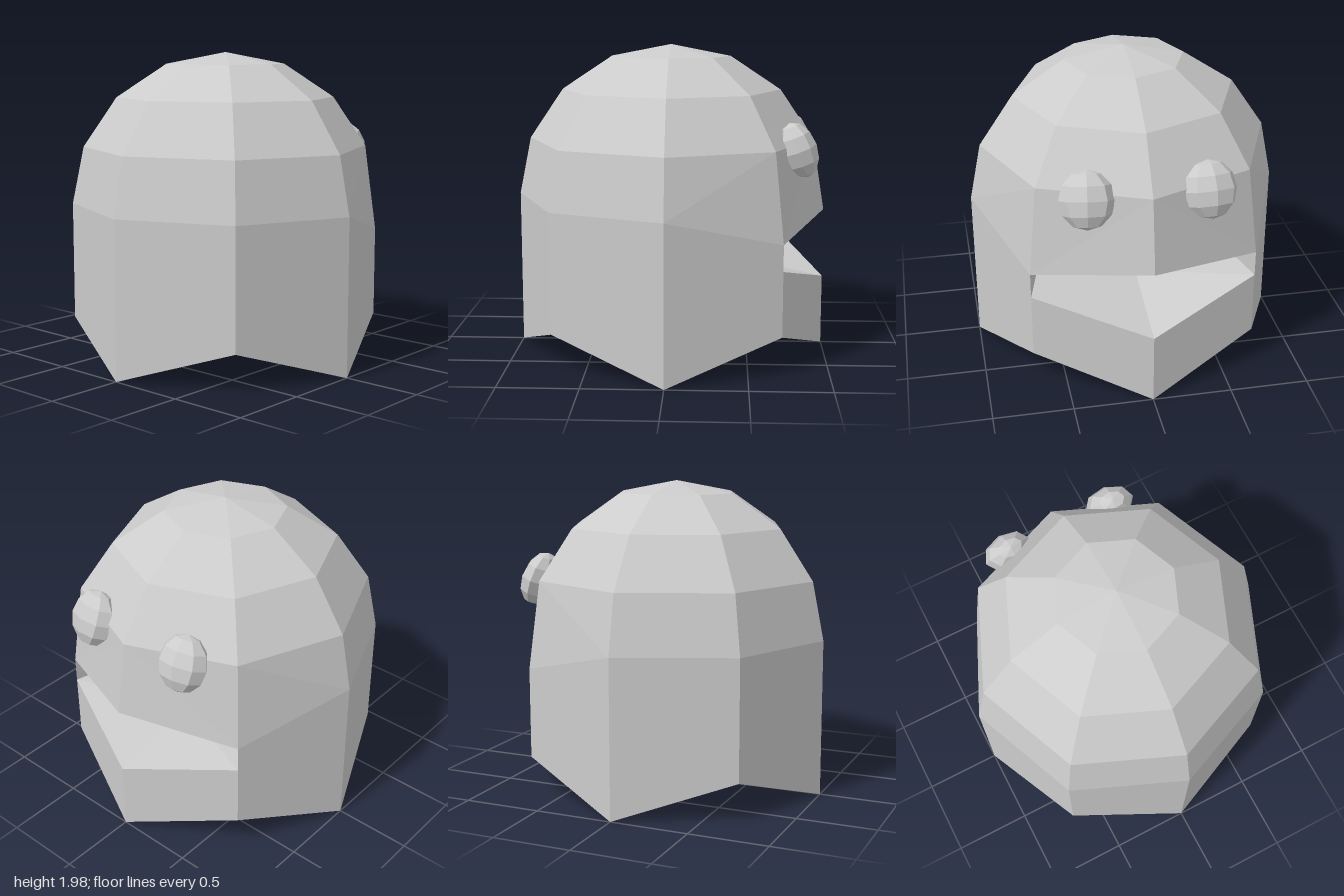
import * as THREE from 'three';

const material = new THREE.MeshStandardMaterial({ color: 0xcccccc, flatShading: true, side: THREE.DoubleSide });

// Flat-shaded mesh from corner loops, each split as a fan from its first corner
function facetMesh(name, loops) {
  const points = [];
  for (const loop of loops)
    for (let i = 1; i < loop.length - 1; i++) points.push(...loop[0], ...loop[i], ...loop[i + 1]);
  const geometry = new THREE.BufferGeometry();
  geometry.setAttribute('position', new THREE.Float32BufferAttribute(points, 3));
  geometry.computeVertexNormals();
  const mesh = new THREE.Mesh(geometry, material);
  mesh.name = name;
  return mesh;
}

const SIDES = 8;
const BACK = 4; // the corner facing -z
const RINGS = [[1, 0], [1, 1], [0.924, 1.37], [0.707, 1.69], [0.383, 1.905]]; // radius, height
const UPPER_LIP = { 3: 0.815, 4: 0.905, 5: 0.815 };
const LOWER_LIP = { 3: 0.65, 4: 0.455, 5: 0.65 };

function corner(side, radius, y) {
  const angle = (side % SIDES) * Math.PI * 2 / SIDES;
  return [radius * Math.sin(angle), y, radius * Math.cos(angle)];
}

// Body corner: zigzag hem, and a first ring that dips to the upper lip at the mouth
function bodyPoint(side, ring) {
  const [radius, height] = RINGS[ring];
  let y = height;
  if (ring === 0) y = side % 2 ? 0.24 : 0;
  if (ring === 1) y = UPPER_LIP[side] ?? height;
  return corner(side, radius, y);
}

const lowerLip = (side) => corner(side, 1, LOWER_LIP[side]);
const upperLip = (side) => corner(side, 1, UPPER_LIP[side]);

function createBody() {
  const loops = [];
  for (let k = 0; k < SIDES; k++) {
    const atMouth = k === BACK - 1 || k === BACK;
    for (let r = 0; r < RINGS.length - 1; r++) {
      const a = bodyPoint(k, r), b = bodyPoint(k + 1, r);
      let c = bodyPoint(k + 1, r + 1), d = bodyPoint(k, r + 1);
      if (r === 0 && atMouth) {
        c = lowerLip(k + 1);
        d = lowerLip(k);
      }
      // Diagonals mirror across the middle
      loops.push(k < BACK ? [a, b, c, d] : [b, c, d, a]);
    }
    const top = RINGS.length - 1;
    loops.push([bodyPoint(k, top), bodyPoint(k + 1, top), [0, 1.98, 0]]);
  }
  return facetMesh('body', loops);
}

// Mouth pocket: floor, roof, side walls and a back wall
function createMouth() {
  const loops = [];
  const floorMid = [0, 0.58, -0.4], roofMid = [0, 0.815, -0.4];
  for (const side of [3, 5]) {
    const x = side === 3 ? 0.56 : -0.56;
    const floorIn = [x, 0.65, -0.1], roofIn = [x, 0.815, -0.1];
    loops.push([floorMid, lowerLip(BACK), lowerLip(side), floorIn]);
    loops.push([roofMid, upperLip(BACK), upperLip(side), roofIn]);
    loops.push([lowerLip(side), upperLip(side), roofIn, floorIn]);
    loops.push([floorMid, roofMid, roofIn, floorIn]);
  }
  return facetMesh('mouth', loops);
}

// Flattened low-poly ball leaning back against the head
function createEye(sign) {
  const eye = new THREE.Mesh(new THREE.SphereGeometry(0.172, 8, 6), material);
  eye.name = sign > 0 ? 'leftEye' : 'rightEye';
  eye.scale.set(0.97, 1.04, 0.66);
  eye.rotation.set(0.36, -sign * 0.12, 0, 'YXZ');
  eye.position.set(sign * 0.37, 1.345, -0.81);
  return eye;
}

export function createModel() {
  const model = new THREE.Group();
  model.name = 'domedCreature';
  model.add(createBody(), createMouth(), createEye(1), createEye(-1));
  return model;
}
